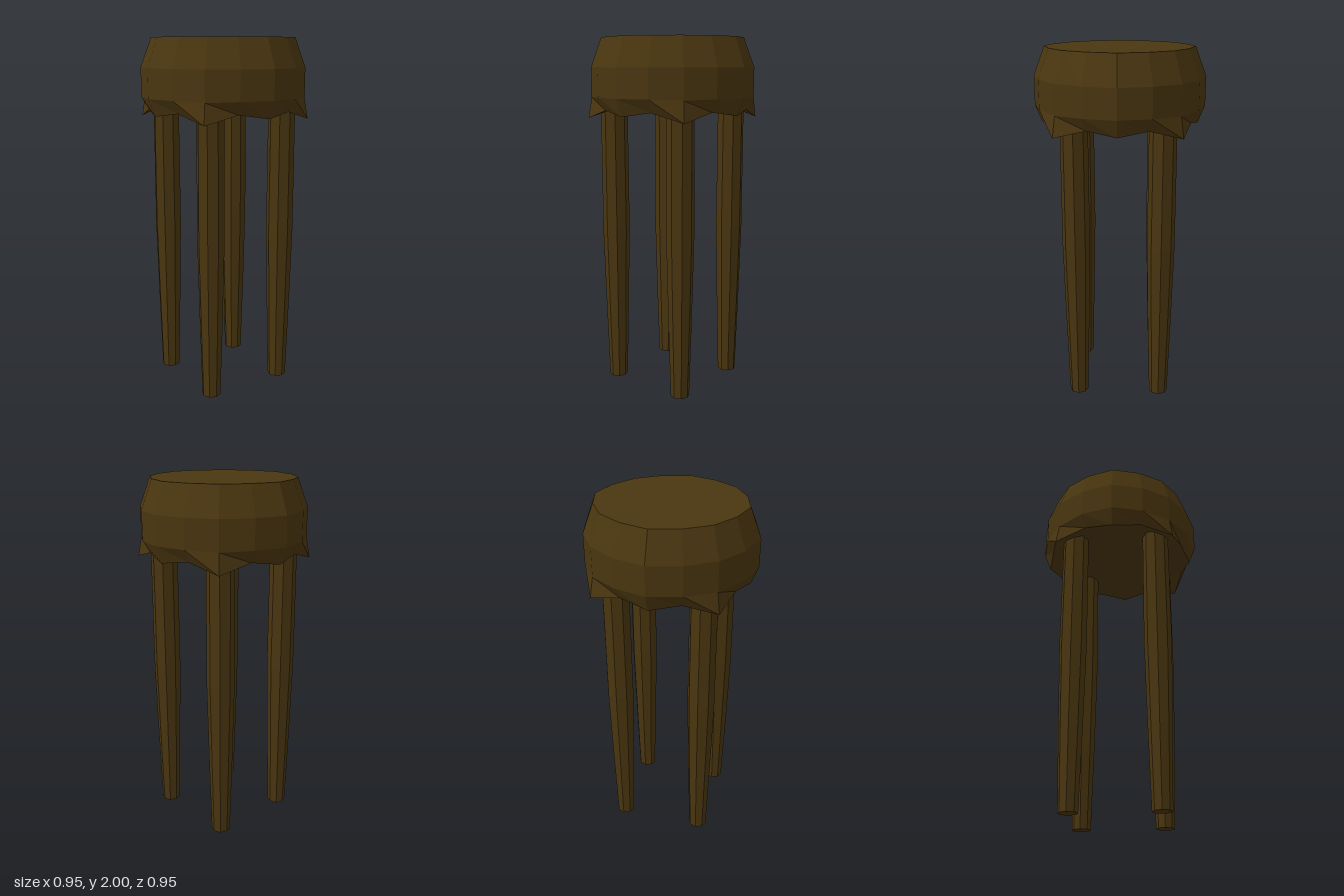
import * as THREE from 'three';

const SIDES = 16;

// Seat rings, top to bottom: [radius, height] on the axes, between, and on the diagonals
const RINGS = [
  { axis: [0, 2], between: [0, 2], diagonal: [0, 2] },
  { axis: [0.413, 2], between: [0.4, 2], diagonal: [0.402, 2] },
  { axis: [0.475, 1.84], between: [0.461, 1.84], diagonal: [0.461, 1.84] },
  { axis: [0.475, 1.68], between: [0.461, 1.68], diagonal: [0.461, 1.675] },
  { axis: [0.437, 1.585], between: [0.42, 1.61], diagonal: [0.481, 1.56] },
  { axis: [0.36, 1.62], between: [0.36, 1.62], diagonal: [0.36, 1.62] },
  { axis: [0, 1.62], between: [0, 1.62], diagonal: [0, 1.62] },
];

function seatGeometry() {
  const positions = [];
  const index = [];
  RINGS.forEach((ring, r) => {
    for (let i = 0; i < SIDES; i++) {
      const [radius, y] = i % 4 === 0 ? ring.axis : i % 4 === 2 ? ring.diagonal : ring.between;
      const a = (i / SIDES) * Math.PI * 2;
      positions.push(Math.sin(a) * radius, y, Math.cos(a) * radius);
      if (r === RINGS.length - 1) continue;
      const j = (i + 1) % SIDES;
      const top = r * SIDES;
      const low = top + SIDES;
      // The first and last bands are fans around the centre
      if (r < RINGS.length - 2) index.push(top + i, low + i, low + j);
      if (r > 0) index.push(top + i, low + j, top + j);
    }
  });
  const geometry = new THREE.BufferGeometry();
  geometry.setAttribute('position', new THREE.Float32BufferAttribute(positions, 3));
  geometry.setIndex(index);
  geometry.computeVertexNormals();
  return geometry;
}

export function createModel() {
  const wood = new THREE.MeshStandardMaterial({ color: 0x4a3610, flatShading: true });
  wood.name = 'darkWood';

  const model = new THREE.Group();
  model.name = 'stool';

  // Cushion-shaped seat with four pointed corners at its lower rim
  const seat = new THREE.Mesh(seatGeometry(), wood);
  seat.name = 'seat';
  model.add(seat);

  // Four octagonal legs, tapering below the middle
  const profile = [[0, 0], [0.053, 0], [0.066, 0.45], [0.077, 0.92], [0.075, 1.65], [0, 1.65]];
  const legGeometry = new THREE.LatheGeometry(profile.map(([x, y]) => new THREE.Vector2(x, y)), 8);
  for (const x of [-1, 1]) {
    for (const z of [-1, 1]) {
      const leg = new THREE.Mesh(legGeometry, wood);
      leg.name = (z > 0 ? 'front' : 'back') + (x > 0 ? 'Left' : 'Right') + 'Leg';
      leg.position.set(x * 0.237, 0, z * 0.237);
      model.add(leg);
    }
  }
  return model;
}
